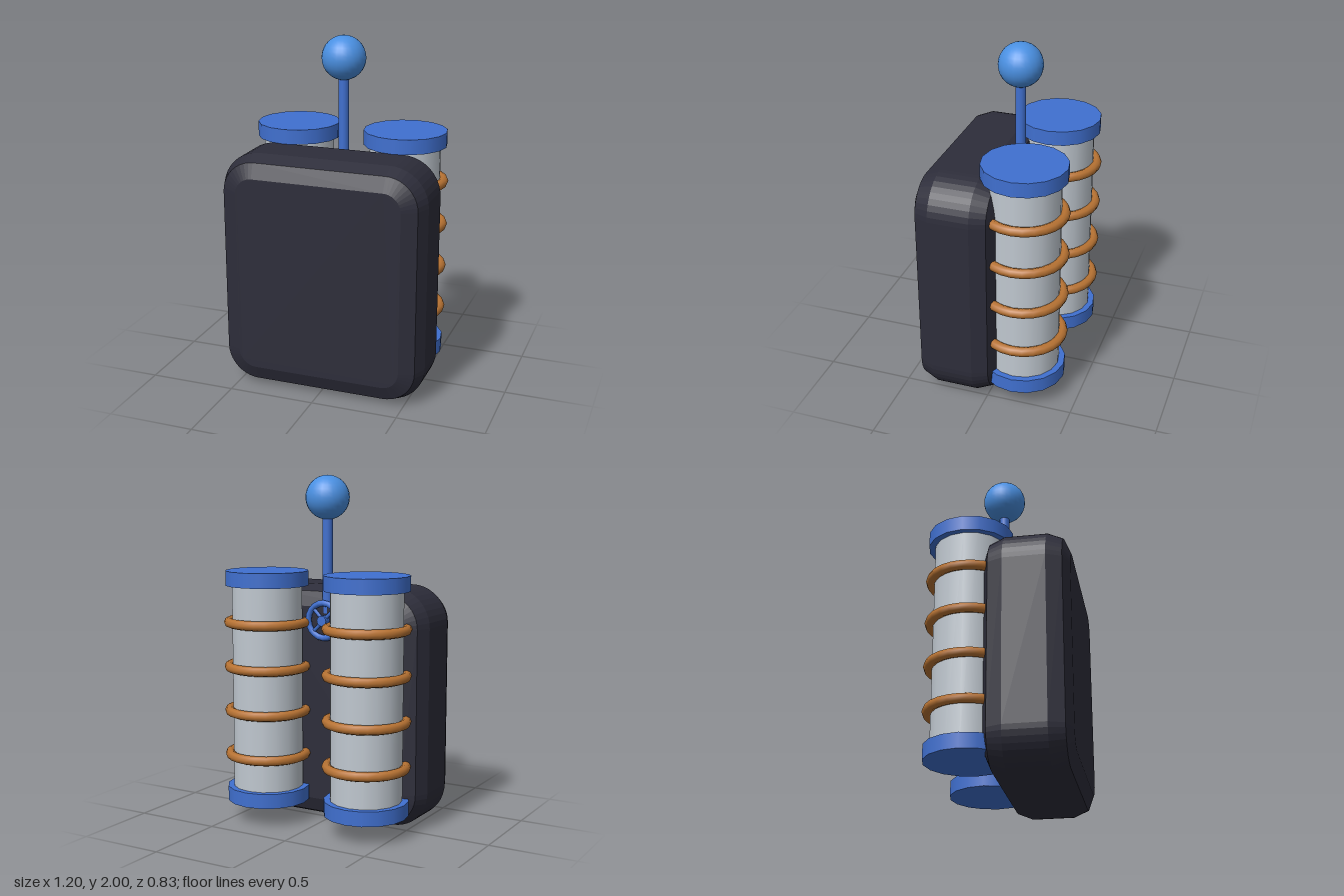
import * as THREE from 'three';

const material = (name, color) => {
  const m = new THREE.MeshStandardMaterial({ color });
  m.name = name;
  return m;
};

export function createModel() {
  const model = new THREE.Group();
  model.name = 'twinTankBackpack';
  const dark = material('darkShell', 0x2d2d3a);
  const blue = material('blueTrim', 0x4070d0);
  const lightBlue = material('lightBlueBall', 0x4a90e2);
  const steel = material('steel', 0xc0c8d0);
  const copper = material('copper', 0xb87333);

  const add = (parent, name, geometry, mat, x = 0, y = 0, z = 0) => {
    const mesh = new THREE.Mesh(geometry, mat);
    mesh.name = name;
    mesh.position.set(x, y, z);
    parent.add(mesh);
    return mesh;
  };

  // Pack body: rounded rectangle with a two-step bevel all round
  const w = 0.48, b = 0.12, y0 = b, y1 = 1.375 - b, r = 0.1;
  const outline = new THREE.Shape();
  outline.moveTo(-w + r, y0);
  outline.lineTo(w - r, y0);
  outline.absarc(w - r, y0 + r, r, -Math.PI / 2, 0);
  outline.lineTo(w, y1 - r);
  outline.absarc(w - r, y1 - r, r, 0, Math.PI / 2);
  outline.lineTo(-w + r, y1);
  outline.absarc(-w + r, y1 - r, r, Math.PI / 2, Math.PI);
  outline.lineTo(-w, y0 + r);
  outline.absarc(-w + r, y0 + r, r, Math.PI, Math.PI * 1.5);
  const bodyGeometry = new THREE.ExtrudeGeometry(outline, {
    depth: 0.235, bevelEnabled: true, bevelSize: b, bevelThickness: b,
    bevelSegments: 2, curveSegments: 5,
  });
  add(model, 'packBody', bodyGeometry, dark, 0, 0, 0.06);

  // Two tanks with end caps and copper rings
  const tankGeometry = new THREE.CylinderGeometry(0.204, 0.204, 1.26, 16);
  const capGeometry = new THREE.CylinderGeometry(0.24, 0.24, 0.085, 16);
  const ringGeometry = new THREE.TorusGeometry(0.222, 0.028, 8, 24).rotateX(Math.PI / 2);
  for (const side of [1, -1]) {
    const tank = new THREE.Group();
    tank.name = side > 0 ? 'leftTank' : 'rightTank';
    tank.position.set(side * 0.326, 0, -0.165);
    add(tank, 'cylinder', tankGeometry, steel, 0, 0.7875, 0);
    add(tank, 'topCap', capGeometry, blue, 0, 1.418, 0);
    add(tank, 'bottomCap', capGeometry, blue, 0, 0.158, 0);
    for (let i = 0; i < 4; i++) add(tank, 'coilRing', ringGeometry, copper, 0, 0.39 + i * 0.258, 0);
    model.add(tank);
  }

  // Antenna
  add(model, 'antennaRod', new THREE.CylinderGeometry(0.03, 0.03, 0.56, 12), blue, 0, 1.5, -0.033);
  add(model, 'antennaBall', new THREE.SphereGeometry(0.125, 24, 16), lightBlue, 0, 1.875, -0.033);

  // Valve wheel on the back, between the tanks
  const wheel = new THREE.Group();
  wheel.name = 'valveWheel';
  wheel.position.set(0, 1.18, -0.08);
  add(wheel, 'rim', new THREE.TorusGeometry(0.1, 0.018, 8, 20), blue);
  add(wheel, 'hub', new THREE.CylinderGeometry(0.03, 0.03, 0.05, 12).rotateX(Math.PI / 2), blue);
  for (let i = 0; i < 2; i++) {
    const spoke = add(wheel, 'spoke', new THREE.CylinderGeometry(0.011, 0.011, 0.2, 8), blue);
    spoke.rotation.z = Math.PI / 4 + i * Math.PI / 2;
  }
  model.add(wheel);
  return model;
}
